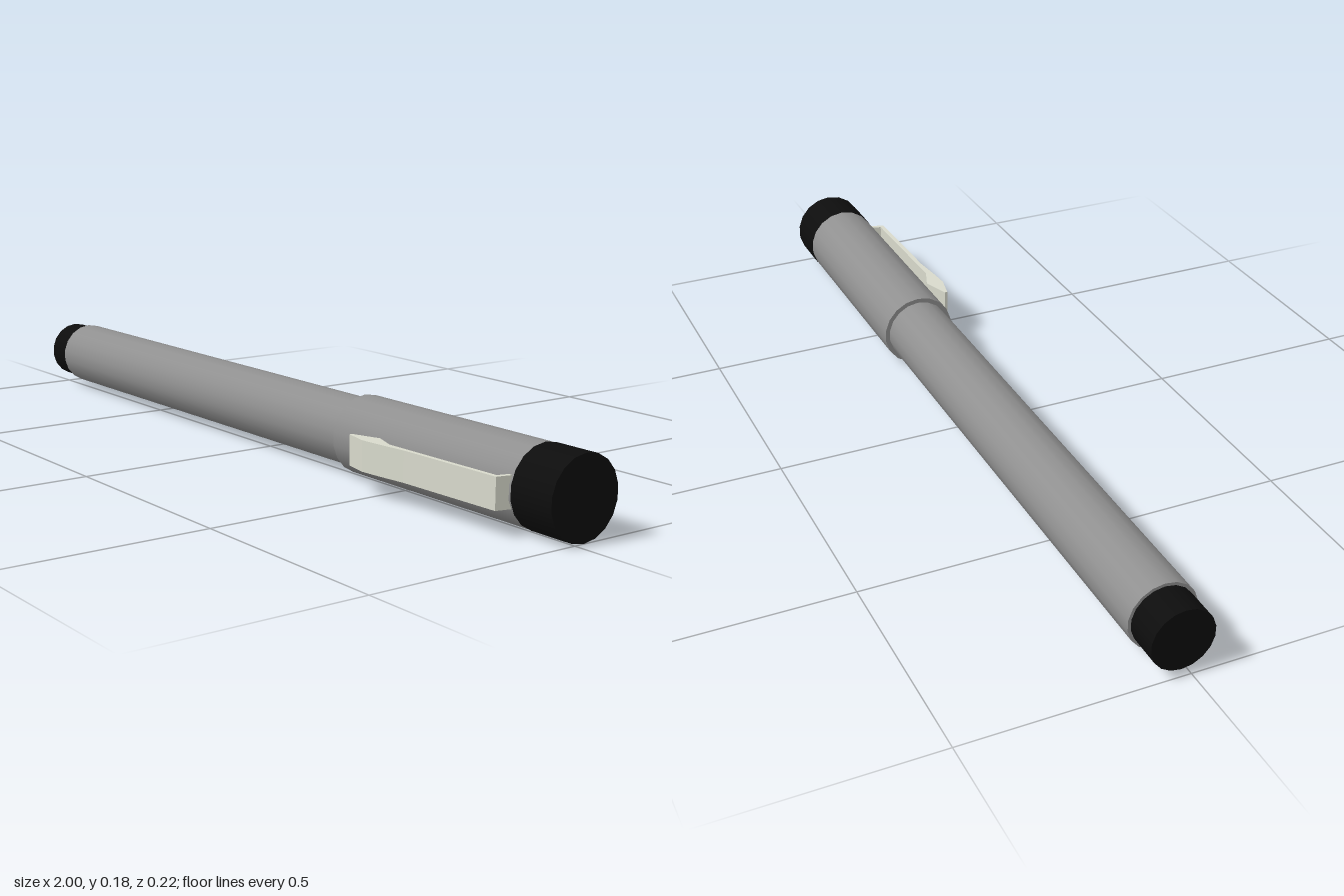
import * as THREE from 'three';

const AXIS_Y = 0.09, AXIS_Z = -0.023, SIDES = 18;

const material = (color) => new THREE.MeshStandardMaterial({ color });

// Solid round section along x, from x0 to x1, with a corner of the polygon on top
function section(name, x0, x1, radius, mat) {
  const geo = new THREE.CylinderGeometry(radius, radius, x1 - x0, SIDES, 1, false, Math.PI / 2);
  geo.rotateZ(-Math.PI / 2);
  const mesh = new THREE.Mesh(geo, mat);
  mesh.name = name;
  mesh.position.set((x0 + x1) / 2, AXIS_Y, AXIS_Z);
  return mesh;
}

// Bent strip extruded across its width; profile is in x and z
function pocketClip(mat) {
  const profile = [
    [0.432, 0.093], [0.498, 0.07], [0.553, 0.09], [0.868, 0.083], [0.876, 0.055],
    [0.886, 0.055], [0.877, 0.093], [0.61, 0.1], [0.54, 0.108], [0.49, 0.112], [0.432, 0.1],
  ];
  const width = 0.068;
  const shape = new THREE.Shape(profile.map(([x, z]) => new THREE.Vector2(x, z)));
  const geo = new THREE.ExtrudeGeometry(shape, { depth: width, bevelEnabled: false });
  geo.rotateX(Math.PI / 2);
  geo.translate(0, AXIS_Y + width / 2, 0);
  const mesh = new THREE.Mesh(geo, mat);
  mesh.name = 'pocketClip';
  return mesh;
}

export function createModel() {
  const grey = material(0x909090);
  const black = material(0x0d0d0d);
  const pale = material(0xd8dacc);

  const pen = new THREE.Group();
  pen.name = 'pen';
  pen.add(
    section('endPlug', -1, -0.92, 0.071, black),
    section('barrel', -0.92, 0.34, 0.078, grey),
    section('cap', 0.33, 0.89, 0.089, grey),
    section('capEnd', 0.89, 1, 0.09, black),
    pocketClip(pale),
  );
  return pen;
}
